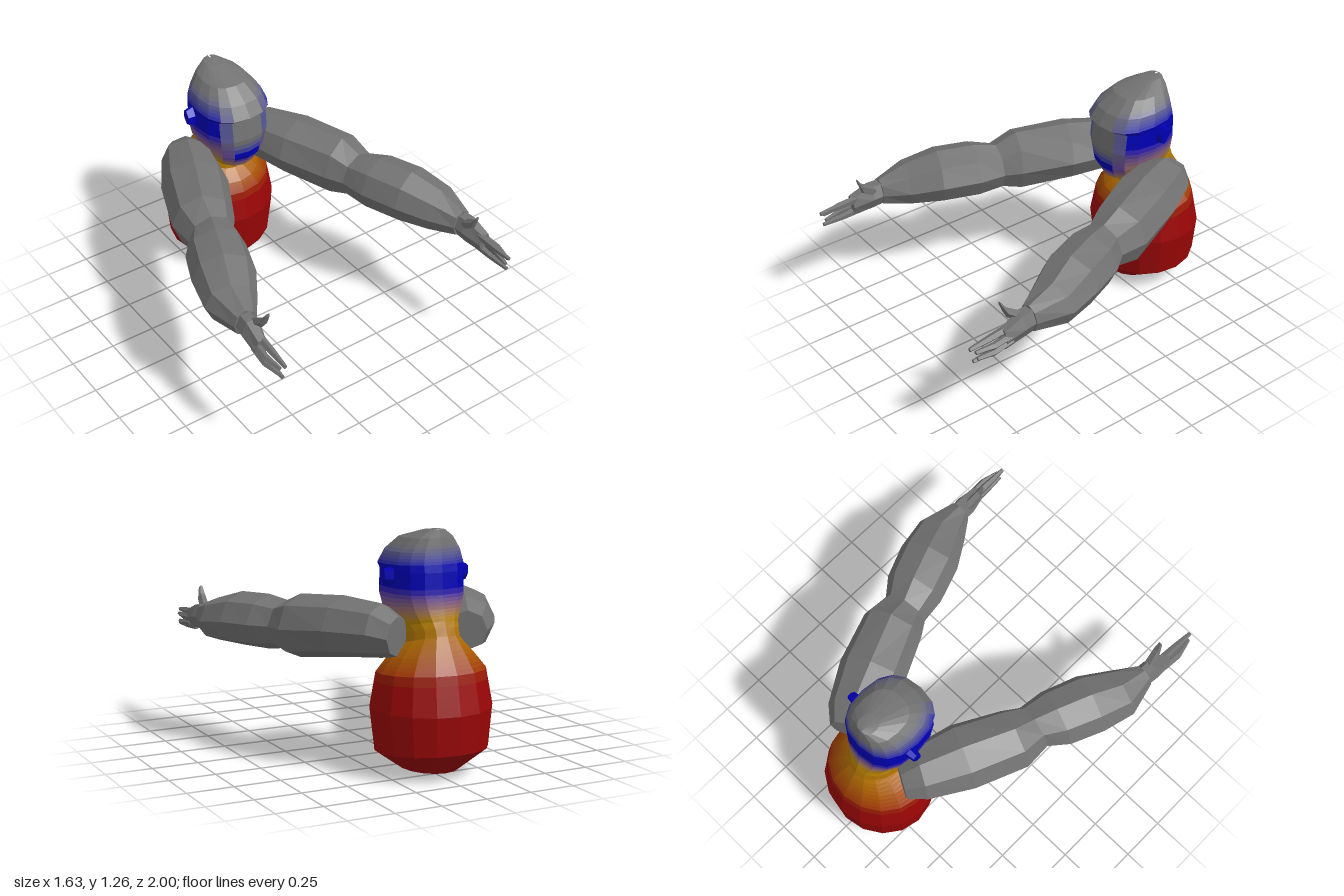
import * as THREE from 'three';

const GREY = 0x727272, RED = 0x9a0606, GOLD = 0xb88600, BLUE = 0x0000b6;
const COLS = 16;
const mat = (color) => new THREE.MeshStandardMaterial({ color, flatShading: true });
const V = (x, y, z) => new THREE.Vector3(x, y, z);

// Skin a run of closed rings; keep(column) picks which columns are built
function loft(name, rings, color, { keep = () => true, caps = false } = {}) {
  const pos = [], n = rings[0].length;
  const tri = (...pts) => pts.forEach((p) => pos.push(p.x, p.y, p.z));
  for (let r = 0; r < rings.length - 1; r++) {
    for (let c = 0; c < n; c++) {
      if (!keep(c)) continue;
      const d = (c + 1) % n, lo = rings[r], hi = rings[r + 1];
      tri(lo[c], lo[d], hi[d]);
      tri(lo[c], hi[d], hi[c]);
    }
  }
  if (caps) {
    const first = rings[0], last = rings[rings.length - 1];
    for (let c = 1; c < n - 1; c++) {
      tri(first[0], first[c + 1], first[c]);
      tri(last[0], last[c], last[c + 1]);
    }
  }
  const geo = new THREE.BufferGeometry();
  geo.setAttribute('position', new THREE.Float32BufferAttribute(pos, 3));
  geo.computeVertexNormals();
  const mesh = new THREE.Mesh(geo, mat(color));
  mesh.name = name;
  return mesh;
}

// Horizontal body ring: front and back heights, half width, front and back z,
// and an exponent that squares the outline when below 1
function bodyRing([yF, yB, hw, zF, zB, e]) {
  const soften = (v) => Math.sign(v) * Math.abs(v) ** e;
  return Array.from({ length: COLS }, (_, i) => {
    const a = (i / COLS) * Math.PI * 2, t = (1 - soften(Math.cos(a))) / 2;
    return V(hw * soften(Math.sin(a)), yF + (yB - yF) * t, zF + (zB - zF) * t);
  });
}

// Upright limb ring: centre, half width, half height, yaw
function limbRing([x, y, z, w, h, yaw], sides) {
  return Array.from({ length: sides }, (_, i) => {
    const a = (i / sides) * Math.PI * 2, u = 1.03 * w * Math.cos(a);
    return V(x + u * Math.cos(yaw), y + 1.03 * h * Math.sin(a), z - u * Math.sin(yaw));
  });
}

const mirror = (rings) => rings.map((r) => r.map((p) => V(-p.x, p.y, p.z)).reverse());

// Colour blend over height
function shade(stops, y) {
  let i = 0;
  while (i < stops.length - 2 && y > stops[i + 1][0]) i++;
  const [y0, c0] = stops[i], [y1, c1] = stops[i + 1];
  const t = THREE.MathUtils.clamp((y - y0) / (y1 - y0), 0, 1);
  return new THREE.Color(c0).lerp(new THREE.Color(c1), t);
}

const SKIN = [[0.5, RED], [0.78, GOLD], [0.95, BLUE], [1.06, BLUE], [1.17, GREY]];
const FACE = [[0.5, RED], [0.71, GOLD], [0.78, BLUE], [0.82, BLUE], [0.9, GREY]];

// Torso, neck and head from the base to the crown
const BODY = [
  [0, 0, 0.01, -0.66, -0.67, 1], [0.03, 0.03, 0.15, -0.49, -0.86, 1],
  [0.11, 0.15, 0.295, -0.43, -0.985, 1], [0.35, 0.35, 0.318, -0.4, -1, 1],
  [0.52, 0.55, 0.285, -0.43, -0.96, 1], [0.58, 0.64, 0.22, -0.46, -0.91, 1],
  [0.64, 0.73, 0.14, -0.52, -0.86, 1], [0.7, 0.77, 0.135, -0.53, -0.845, 0.95],
  [0.72, 0.8, 0.145, -0.42, -0.835, 0.9], [0.8, 0.86, 0.178, -0.38, -0.82, 0.85],
  [0.92, 0.93, 0.2, -0.365, -0.81, 0.8], [1.04, 1.04, 0.2, -0.38, -0.805, 0.8],
  [1.06, 1.08, 0.203, -0.355, -0.8, 0.8], [1.13, 1.14, 0.18, -0.4, -0.79, 0.8],
  [1.2, 1.21, 0.125, -0.49, -0.78, 0.8], [1.245, 1.25, 0.05, -0.66, -0.772, 0.8],
  [1.255, 1.257, 0.005, -0.74, -0.766, 1],
];

// Column bands around the head: middle of face, cheek, sides and back
const HEAD_ZONES = [
  { name: 'face', from: 0, to: 0, face: 1 },
  { name: 'cheek', from: 1, to: 1, face: 0.55 },
  { name: 'head', from: 2, to: 7, face: 0 },
];

function buildBody() {
  const body = new THREE.Group();
  body.name = 'body';
  for (let b = 0; b < BODY.length - 1; b++) {
    const part = b < 6 ? 'torso' : b < 8 ? 'neck' : 'head';
    const lo = BODY[b], hi = BODY[b + 1];
    // Tall blended bands are cut into thin strips
    const steps = b > 2 && hi[1] - lo[1] > 0.05 ? 4 : 1;
    const at = (t) => lo.map((v, i) => v + (hi[i] - v) * t);
    for (let s = 0; s < steps; s++) {
      const r0 = at(s / steps), r1 = at((s + 1) / steps);
      const rings = [bodyRing(r0), bodyRing(r1)];
      const yF = (r0[0] + r1[0]) / 2, yM = (r0[0] + r0[1] + r1[0] + r1[1]) / 4;
      if (part !== 'head') {
        body.add(loft(part, rings, shade(SKIN, yM)));
        continue;
      }
      for (const { name, from, to, face } of HEAD_ZONES) {
        const keep = (c) => {
          const k = Math.min(c, COLS - 1 - c);
          return k >= from && k <= to;
        };
        body.add(loft(name, rings, shade(SKIN, yM).lerp(shade(FACE, yF), face), { keep }));
      }
    }
  }
  return body;
}

// Shoulder to wrist
const ARM = [
  [0.2, 0.72, -0.715, 0.1, 0.1, 0.5], [0.245, 0.74, -0.62, 0.145, 0.135, 0.5],
  [0.34, 0.735, -0.4, 0.18, 0.155, 0.42], [0.46, 0.705, -0.13, 0.165, 0.165, 0.36],
  [0.485, 0.695, -0.01, 0.125, 0.125, 0.2], [0.535, 0.695, 0.11, 0.16, 0.145, 0.3],
  [0.61, 0.69, 0.3, 0.165, 0.143, 0.36], [0.68, 0.665, 0.47, 0.135, 0.115, 0.3],
  [0.7, 0.655, 0.63, 0.062, 0.075, 0.1],
];
const PALM = [
  [0.7, 0.655, 0.62, 0.055, 0.07, 0], [0.705, 0.65, 0.69, 0.057, 0.073, 0],
  [0.72, 0.62, 0.8, 0.037, 0.06, 0],
];
// Each digit: base, knuckle, tip
const DIGITS = {
  thumb: [[0.685, 0.68, 0.67, 0.028, 0.035, 0], [0.672, 0.735, 0.75, 0.024, 0.03, 0], [0.667, 0.795, 0.78, 0.012, 0.012, 0]],
  indexFinger: [[0.705, 0.66, 0.76, 0.022, 0.022, 0], [0.71, 0.65, 0.88, 0.019, 0.019, 0], [0.715, 0.643, 0.995, 0.011, 0.011, 0]],
  middleFinger: [[0.735, 0.635, 0.76, 0.022, 0.022, 0], [0.745, 0.628, 0.87, 0.019, 0.018, 0], [0.73, 0.622, 0.97, 0.011, 0.011, 0]],
  ringFinger: [[0.735, 0.605, 0.76, 0.022, 0.021, 0], [0.745, 0.588, 0.87, 0.018, 0.018, 0], [0.73, 0.58, 0.96, 0.011, 0.011, 0]],
  littleFinger: [[0.71, 0.585, 0.74, 0.021, 0.022, 0], [0.715, 0.572, 0.86, 0.017, 0.017, 0], [0.72, 0.566, 0.98, 0.011, 0.01, 0]],
};

function buildSide(left) {
  const side = new THREE.Group();
  side.name = left ? 'leftSide' : 'rightSide';
  const limb = (name, data, sides) => {
    const rings = data.map((d) => limbRing(d, sides));
    side.add(loft(name, left ? rings : mirror(rings), GREY, { caps: true }));
  };
  limb('arm', ARM, 8);
  limb('palm', PALM, 6);
  for (const [name, data] of Object.entries(DIGITS)) limb(name, data, 5);

  // Ear: a thin block leaning back
  const s = left ? 1 : -1;
  const ear = new THREE.Mesh(new THREE.CylinderGeometry(0.045, 0.062, 0.06, 6), mat(BLUE));
  ear.name = 'ear';
  ear.scale.z = 0.55;
  ear.rotation.set(-0.35, 0, -s * Math.PI / 2);
  ear.position.set(s * 0.21, 1.01, -0.625);
  side.add(ear);
  return side;
}

export function createModel() {
  const model = new THREE.Group();
  model.name = 'figure';
  model.add(buildBody(), buildSide(true), buildSide(false));
  return model;
}
